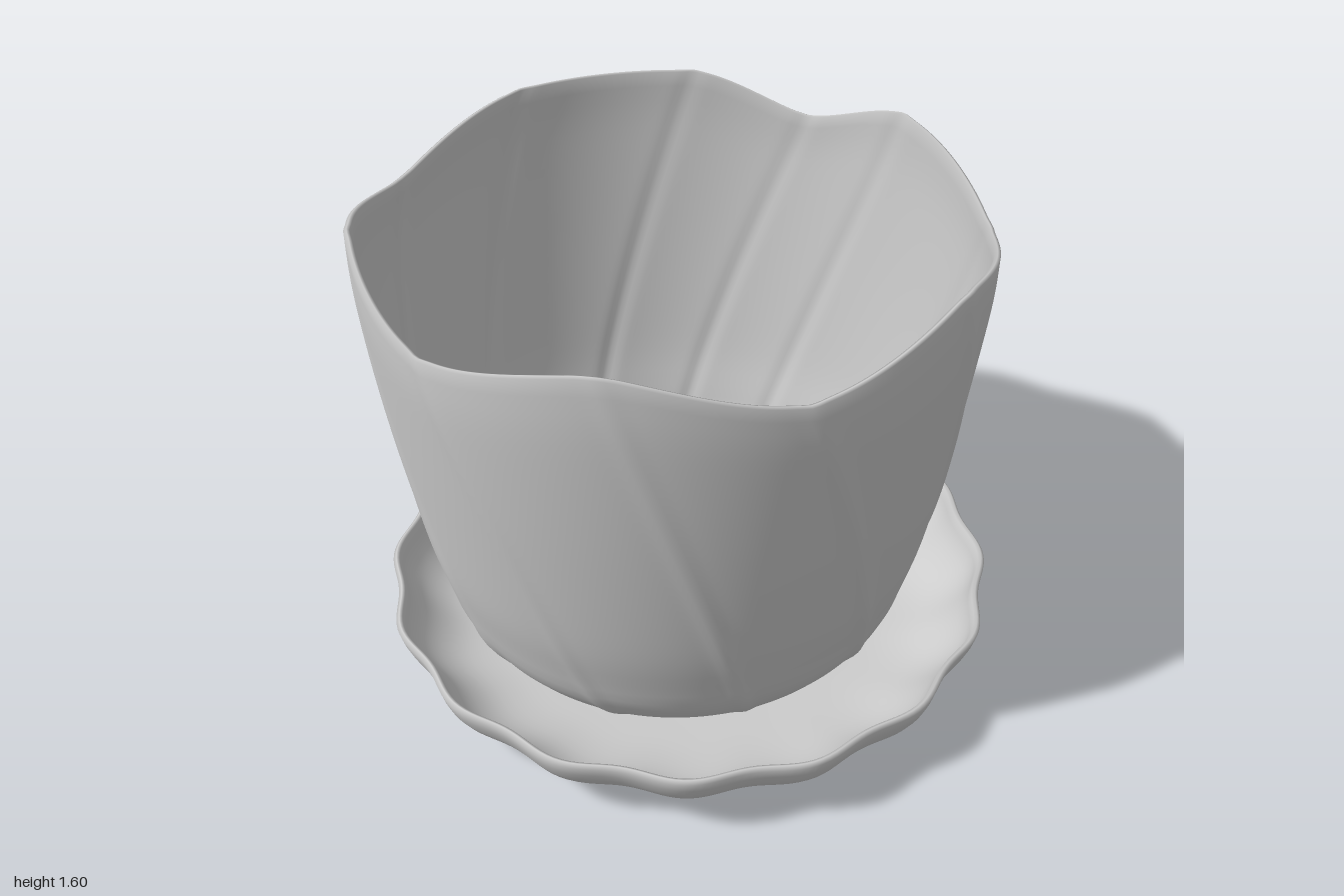
import * as THREE from 'three';

const DEG = Math.PI / 180;

// Thin closed shell profile: outer curve up, rounded lip, inner curve back down
function shellProfile(points, thickness, steps) {
  const curve = new THREE.SplineCurve(points.map(([r, y]) => new THREE.Vector2(r, y)));
  const outer = [], inner = [];
  for (let i = 0; i <= steps; i++) {
    const p = curve.getPointAt(i / steps), t = curve.getTangentAt(i / steps);
    outer.push([Math.max(p.x, 0), p.y]);
    inner.unshift([i ? Math.max(p.x - t.y * thickness, 0) : 0, p.y + t.x * thickness]);
  }
  const a = outer[steps], b = inner[0];
  const lip = [(a[0] + b[0]) / 2, Math.max(a[1], b[1]) + thickness * 0.25];
  return [...outer, lip, ...inner];
}

// Sweeps a profile around y; warp(r, y, angle) returns the changed [r, y, angle]
function sweep(profile, segments, warp) {
  const pos = [], index = [];
  profile.forEach(([r0, y0], i) => {
    for (let j = 0; j < segments; j++) {
      const [r, y, a] = warp(r0, y0, j / segments * Math.PI * 2);
      pos.push(r * Math.sin(a), y, r * Math.cos(a));
      if (i === profile.length - 1) continue;
      const k = (j + 1) % segments, p = i * segments, q = p + segments;
      index.push(p + j, p + k, q + k, p + j, q + k, q + j);
    }
  });
  const geo = new THREE.BufferGeometry();
  geo.setAttribute('position', new THREE.Float32BufferAttribute(pos, 3));
  geo.setIndex(index);
  geo.computeVertexNormals();
  return geo;
}

// Petal tips (1) and dips (0) around the rim, in degrees from the front towards +x
const KNOTS = [[-31, 0], [3, 1], [40, 0], [76, 1], [99, 0], [124, 1], [161, 1],
  [195, 0], [229, 1], [262, 0], [296, 1], [329, 0]];

function rimLevel(angle) {
  let d = angle / DEG;
  if (d > 329) d -= 360;
  for (let i = 0; i < KNOTS.length - 1; i++) {
    const [a, h] = KNOTS[i], [b, k] = KNOTS[i + 1];
    if (d > b) continue;
    const t = (d - a) / (b - a), s = t * t * (3 - 2 * t);
    return h + (k - h) * (0.45 * t + 0.55 * s);
  }
  return 0;
}

// Narrow raised crease running down from every knot
function crease(angle) {
  let sum = 0;
  for (const [k] of KNOTS.slice(1)) {
    let d = (angle / DEG - k) % 360;
    if (d > 180) d -= 360;
    if (d < -180) d += 360;
    sum += Math.exp(-((d / 2) ** 2));
  }
  return sum;
}

export function createModel() {
  const group = new THREE.Group();
  const material = new THREE.MeshStandardMaterial({ color: 0xcccccc });

  // Pot: twisted petals with a wavy rim
  const potProfile = shellProfile([[0, 0.05], [0.25, 0.05], [0.43, 0.055], [0.56, 0.09],
    [0.67, 0.165], [0.75, 0.28], [0.785, 0.4], [0.83, 0.6], [0.885, 1.0],
    [0.925, 1.4], [0.93, 1.595]], 0.018, 44);
  const potGeo = sweep(potProfile, 288, (r, y, a) => {
    const f = THREE.MathUtils.clamp((y - 0.05) / 1.55, 0, 1);
    const fade = THREE.MathUtils.smoothstep(r, 0.4, 0.6) * (1 - 0.5 * f * f);
    return [
      r + 0.009 * fade * crease(a),
      y - 0.115 * (1 - rimLevel(a)) * f * f,
      a + 32 * DEG * (1 - f),
    ];
  });
  const pot = new THREE.Mesh(potGeo, material);
  pot.name = 'pot';
  pot.position.set(-0.005, 0, -0.045);
  group.add(pot);

  // Saucer: shallow dish whose sixteen scallops fade towards the middle
  const saucerProfile = shellProfile([[0, 0], [0.3, 0.003], [0.6, 0.012], [0.72, 0.025],
    [0.81, 0.052], [0.885, 0.1], [0.94, 0.16], [0.97, 0.215], [0.985, 0.27]], 0.022, 30);
  const saucerGeo = sweep(saucerProfile, 256, (r, y, a) => {
    const fade = THREE.MathUtils.smoothstep(r, 0.4, 1);
    return [r + 0.014 * fade * Math.cos(16 * (a - 14.5 * DEG)), y, a];
  });
  const saucer = new THREE.Mesh(saucerGeo, material);
  saucer.name = 'saucer';
  group.add(saucer);

  return group;
}
